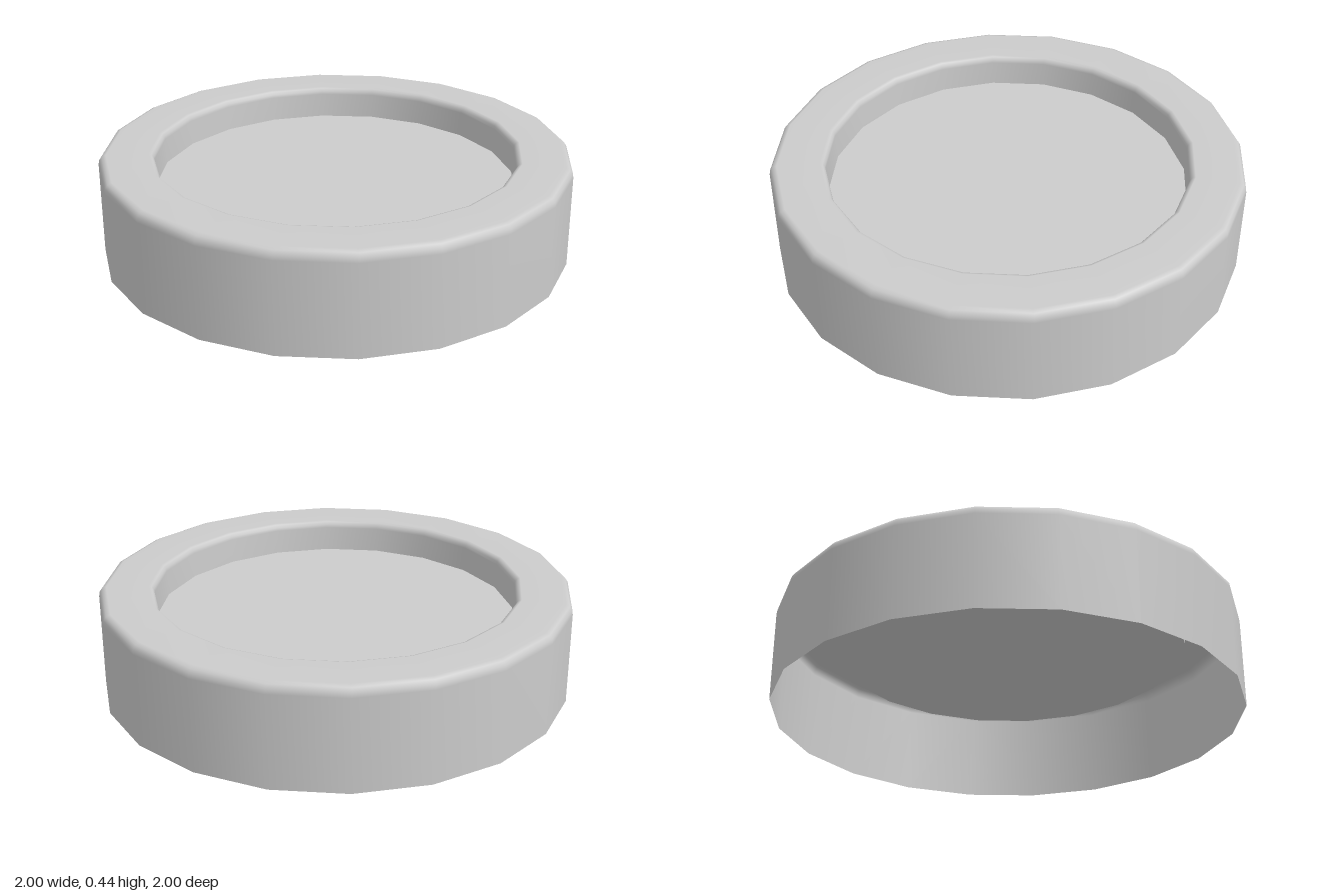
import * as THREE from 'three';

const SIDES = 20;

export function createModel() {
  const group = new THREE.Group();
  const material = new THREE.MeshStandardMaterial({ color: 0xcccccc, side: THREE.DoubleSide });

  const add = (name, geometry) => {
    const mesh = new THREE.Mesh(geometry, material);
    mesh.name = name;
    group.add(mesh);
    return mesh;
  };

  // Thin shell: outer wall, rounded shoulder, flat rim and recess wall; open underneath
  const profile = [
    [1, 0], [1, 0.395], [0.997, 0.415], [0.986, 0.431], [0.968, 0.438],
    [0.79, 0.438], [0.778, 0.434], [0.769, 0.422], [0.767, 0.408], [0.763, 0.3],
  ].map(([r, y]) => new THREE.Vector2(r, y));
  add('rimShell', new THREE.LatheGeometry(profile, SIDES));

  // Sunken floor closing the recess
  const floor = add('recessFloor', new THREE.CircleGeometry(0.763, SIDES));
  floor.rotation.x = -Math.PI / 2;
  floor.position.y = 0.3;

  return group;
}
